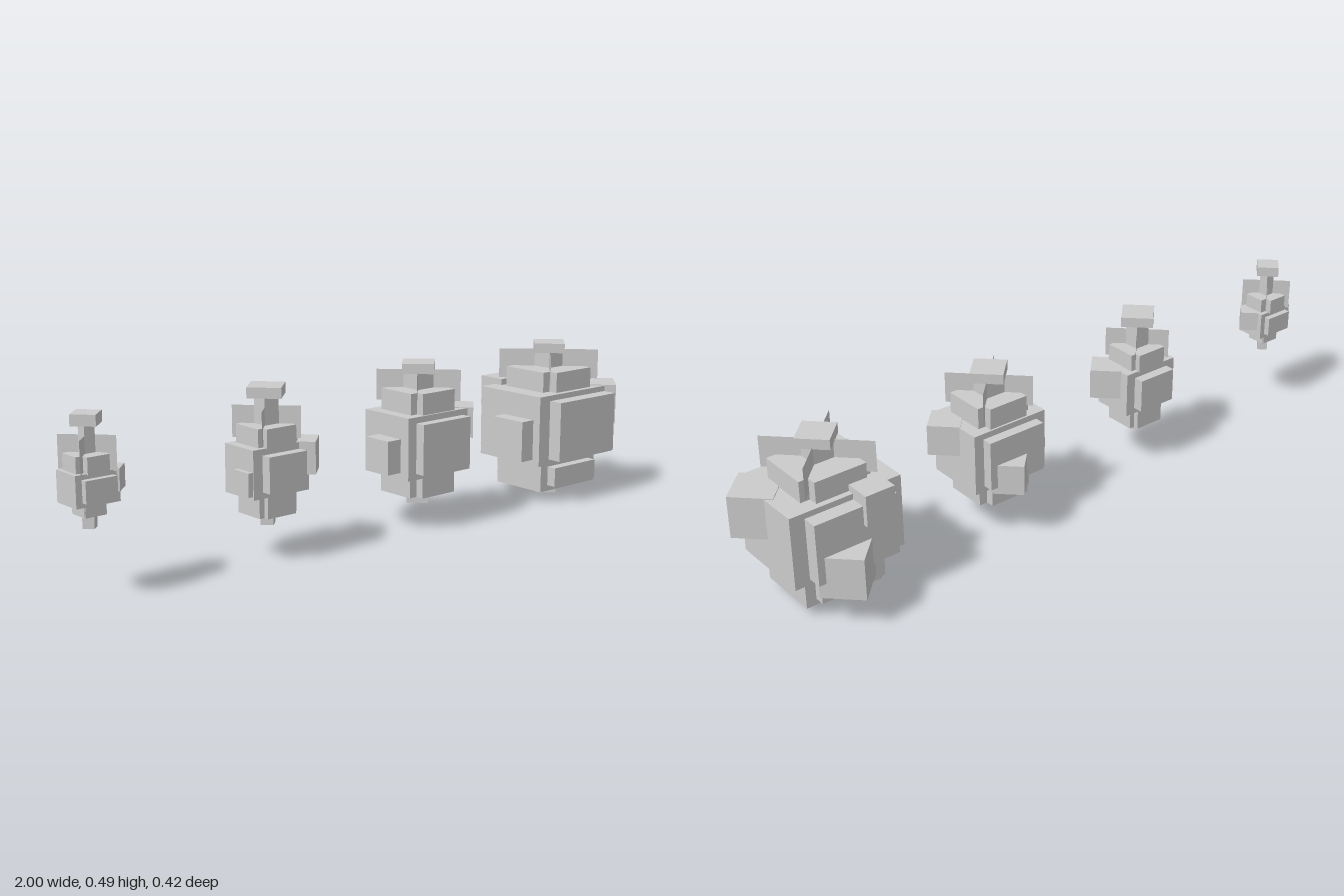
import * as THREE from 'three';

const grey = new THREE.MeshStandardMaterial({ color: 0xcccccc, side: THREE.DoubleSide });
grey.name = 'grey';

// Box between two heights, with half sizes in x and z, optionally turned 45 degrees
function block(name, hx, hz, y0, y1, x = 0, z = 0, turned = false) {
  const mesh = new THREE.Mesh(new THREE.BoxGeometry(hx * 2, y1 - y0, hz * 2), grey);
  mesh.name = name;
  mesh.position.set(x, (y0 + y1) / 2, z);
  if (turned) mesh.rotation.y = Math.PI / 4;
  return mesh;
}

// Square block seen as a diamond; r is half its diagonal
const diamond = (name, r, y0, y1, x = 0, z = 0) =>
  block(name, r * Math.SQRT1_2, r * Math.SQRT1_2, y0, y1, x, z, true);

// Two overlapping boxes that form a cross; inset shortens the second one
const cross = (name, a, b, y0, y1, inset = 0) => [
  block(name + 'Wide', a, b, y0, y1),
  block(name + 'Deep', b, a, y0 + inset, y1 - inset),
];

// Each pod: tiers are [long half, short half, bottom, top, inset];
// diamonds are [half diagonal, bottom, top, x, z]
const pods = [
  {
    x: -0.938, cap: 0.047, stem: 0.015, leaf: [0.053, 0.337, 0.43],
    neck: [0.053, 0.032, 0.34, 0.385, 0], body: [0.064, 0.046, 0.257, 0.342, 0.013],
    base: [0.032, 0.03, 0.225, 0.257, 0], tip: [0.022, 0.19, 0.225],
    knobs: [[0.043, 0.283, 0.343, 0.06, 0.008]], boxes: [],
  },
  {
    x: -0.375, cap: 0.067, stem: 0.024, leaf: [0.067, 0.34, 0.43],
    neck: [0.067, 0.05, 0.325, 0.38, 0], body: [0.095, 0.064, 0.19, 0.328, 0.018],
    base: [0.064, 0.048, 0.13, 0.19, 0], tip: [0.026, 0.097, 0.13],
    knobs: [[0.066, 0.238, 0.33, 0.094, 0.03]],
    boxes: [[0.033, 0.2, 0.267, -0.077, 0.028]],
  },
  {
    x: 0.19, cap: 0.067, stem: 0.031, leaf: [0.088, 0.37, 0.463],
    neck: [0.088, 0.064, 0.345, 0.409, 0], body: [0.125, 0.094, 0.16, 0.346, 0.018],
    base: [0.09, 0.064, 0.098, 0.162, 0], tip: [0.045, 0.065, 0.098],
    knobs: [[0.066, 0.256, 0.348, 0.124, 0.04], [0.066, 0.158, 0.25, 0.018, -0.112]],
    boxes: [[0.048, 0.18, 0.28, -0.126, 0.013]],
  },
  {
    x: 0.755, cap: 0.067, stem: 0.031, leaf: [0.11, 0.37, 0.463],
    neck: [0.108, 0.079, 0.345, 0.409, 0], body: [0.171, 0.126, 0.127, 0.346, 0.017],
    base: [0.125, 0.094, 0.032, 0.128, 0.018], tip: [0.045, 0, 0.032],
    knobs: [[0.087, 0.224, 0.349, 0.154, 0.065], [0.088, 0.098, 0.223, 0.031, -0.156]],
    boxes: [[0.062, 0.145, 0.271, -0.158, 0.037], [0.045, 0.272, 0.365, -0.066, -0.142]],
  },
];

function makePod(p, i) {
  const pod = new THREE.Group();
  pod.name = 'pod' + (i + 1);
  pod.position.set(p.x, 0, 0.035);

  // Stalk and its cap
  pod.add(block('stem', p.stem, p.stem, p.neck[3] - 0.02, 0.457));
  pod.add(diamond('cap', p.cap, 0.457, 0.487));

  // Stacked tiers of the fruit, ending in a small tip
  pod.add(...cross('neck', ...p.neck), ...cross('body', ...p.body), ...cross('base', ...p.base));
  pod.add(diamond('tip', ...p.tip));

  // Crossed leaf sheets around the stem
  const [r, y0, y1] = p.leaf;
  for (const turn of [1, -1]) {
    const leaf = new THREE.Mesh(new THREE.PlaneGeometry(r * 2 * Math.SQRT2, y1 - y0), grey);
    leaf.name = 'leaf';
    leaf.position.y = (y0 + y1) / 2;
    leaf.rotation.y = turn * Math.PI / 4;
    pod.add(leaf);
  }

  // Lumps on the sides and back
  for (const k of p.knobs) pod.add(diamond('turnedLump', ...k));
  for (const [h, a, b, x, z] of p.boxes) pod.add(block('squareLump', h, h, a, b, x, z));
  return pod;
}

export function createModel() {
  const model = new THREE.Group();
  model.name = 'hangingPods';
  pods.forEach((p, i) => model.add(makePod(p, i)));
  return model;
}
